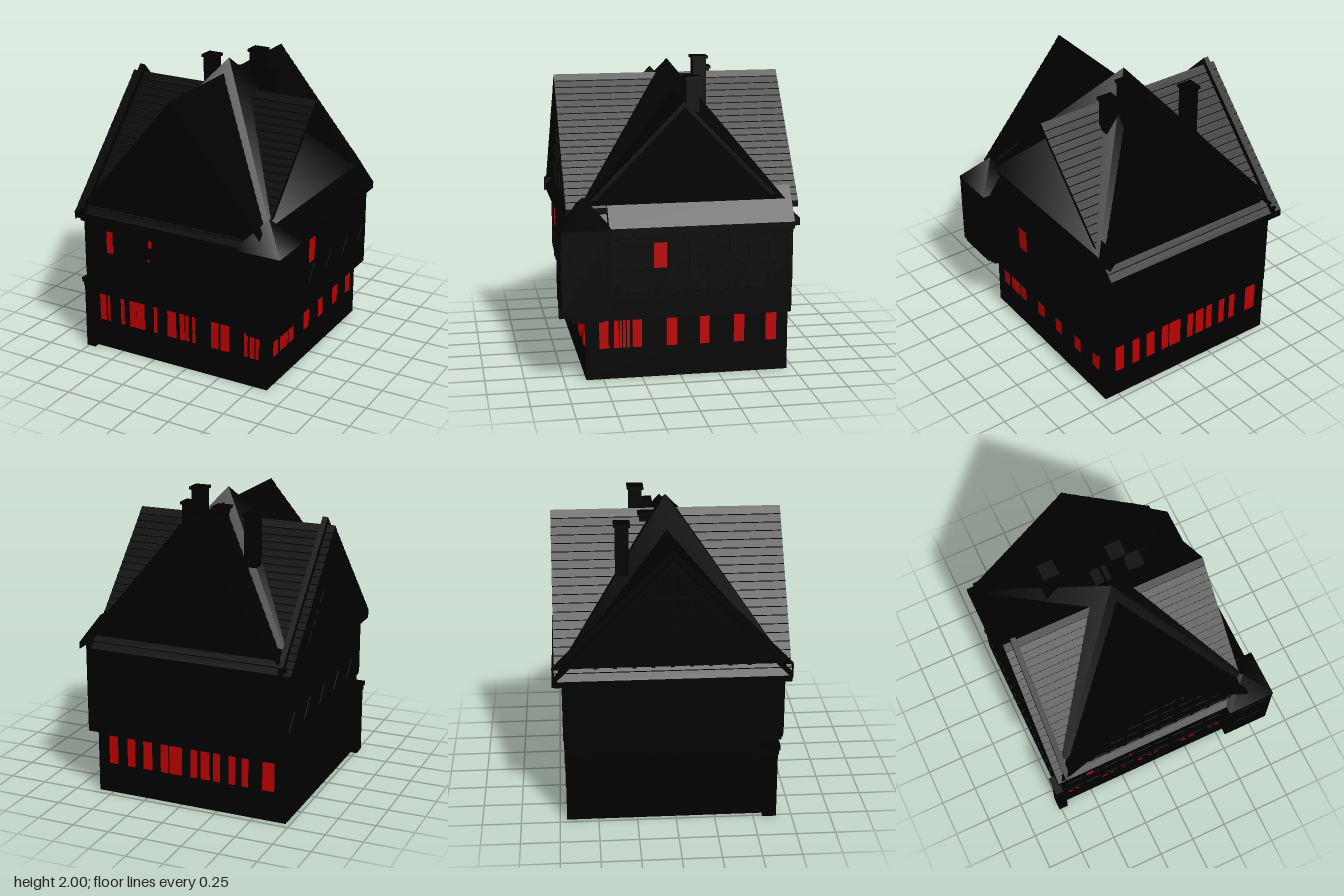
import * as THREE from 'three';

export function createModel() {
  const house = new THREE.Group();
  house.name = 'timberHouse';
  const dark = new THREE.MeshStandardMaterial({ color: 0x000000 });
  dark.name = 'soot black';
  const red = new THREE.MeshStandardMaterial({ color: 0xba0000 });
  red.name = 'window red';

  const add = (name, geo, mat = dark, parent = house) => {
    const m = new THREE.Mesh(geo, mat);
    m.name = name;
    parent.add(m);
    return m;
  };
  // Box given by its limits on each axis
  const box = (name, x0, x1, y0, y1, z0, z1, mat = dark, parent = house) => {
    const m = add(name, new THREE.BoxGeometry(x1 - x0, y1 - y0, z1 - z0), mat, parent);
    m.position.set((x0 + x1) / 2, (y0 + y1) / 2, (z0 + z1) / 2);
    return m;
  };
  // Extrude a profile along z, or along x (profile u then runs along -z)
  const extrude = (name, pts, w0, w1, alongX) => {
    const geo = new THREE.ExtrudeGeometry(new THREE.Shape(pts), { depth: w1 - w0, bevelEnabled: false });
    geo.translate(0, 0, w0);
    if (alongX) geo.rotateY(Math.PI / 2);
    return add(name, geo);
  };

  // Storeys, the upper one jutting out to the right and front
  box('groundFloor', -0.72, 0.6, 0, 0.45, -0.705, 0.61);
  box('floorBeams', -0.72, 0.67, 0.41, 0.55, -0.71, 0.64);
  box('upperFloor', -0.72, 0.67, 0.55, 1.04, -0.71, 0.685);
  box('cornerPillar', -0.765, -0.7, 0, 0.47, 0.56, 0.65);
  box('canopy', -0.775, 0, 0.48, 0.51, 0.54, 0.665);
  box('canopyLedge', -0.77, 0.02, 0.45, 0.48, 0.55, 0.655);

  // Corner bay on stepped corbels, with a small hipped roof
  box('bayCorbelLow', 0.5, 0.69, 0.41, 0.45, 0.5, 0.705);
  box('bayCorbelMiddle', 0.48, 0.725, 0.45, 0.48, 0.48, 0.74);
  box('bayCorbelHigh', 0.46, 0.755, 0.48, 0.51, 0.47, 0.765);
  box('bay', 0.455, 0.767, 0.51, 1.02, 0.463, 0.775);
  const bayRoof = add('bayRoof', new THREE.ConeGeometry(0.16 * Math.SQRT2, 0.18, 4, 1).rotateY(Math.PI / 4));
  bayRoof.position.set(0.61, 1.11, 0.62);

  // Shingled gable roof: sawtooth upper outline, straight underside
  function roofProfile(ridgeU, ridgeY, u0, u1, slope, lift = 0, rows = 20, thick = 0.04) {
    const pts = [];
    const step = rows ? 0.006 : 0;
    const n = rows || 1;
    const y = u => ridgeY + lift - slope * Math.abs(u - ridgeU);
    for (let i = 0; i <= n; i++) {
      const u = u0 + (ridgeU - u0) * i / n;
      if (i > 0 && i < n) pts.push(new THREE.Vector2(u, y(u) - step));
      pts.push(new THREE.Vector2(u, y(u)));
    }
    for (let i = 1; i <= n; i++) {
      const u = ridgeU + (u1 - ridgeU) * i / n;
      pts.push(new THREE.Vector2(u, y(u)));
      if (i < n) pts.push(new THREE.Vector2(u, y(u) - step));
    }
    pts.push(new THREE.Vector2(u1, y(u1) - thick), new THREE.Vector2(ridgeU, ridgeY + lift - thick),
      new THREE.Vector2(u0, y(u0) - thick));
    return pts.reverse();
  }
  const triangle = (u, y, half, base) =>
    [new THREE.Vector2(u - half, base), new THREE.Vector2(u + half, base), new THREE.Vector2(u, y)];

  // The side roof stays open at its right end, over the slope of the crossing roof
  extrude('frontBackRoof', roofProfile(-0.03, 1.88, -0.765, 0.6, 1.2), -0.76, 0.725, false);
  extrude('sideRoof', roofProfile(0.02, 1.78, -0.73, 0.775, 1.02), -0.765, 0.6, true);
  extrude('leftParapet', roofProfile(0.02, 1.78, -0.74, 0.775, 1.02, 0.05, 0, 0.09), -0.715, -0.68, true);
  extrude('frontBackGable', triangle(-0.03, 1.84, 0.68, 1.02), -0.7, 0.685, false);
  extrude('leftGable', triangle(0.02, 1.74, 0.7, 1.02), -0.71, 0, true);
  box('rearGutter', -0.765, 0.6, 0.96, 1.01, -0.775, -0.74);

  // Steep pyramid over the crossing, filling the valleys
  const pyramid = add('crossingRoof',
    new THREE.ConeGeometry(0.65 * Math.SQRT2, 0.826, 4, 1).rotateY(Math.PI / 4));
  pyramid.position.set(-0.03, 1.97 - 0.413, -0.02);

  // Right eave, a sloping strip continuing the crossing roof
  extrude('rightEave', [[0.56, 1.1], [0.72, 0.97], [0.72, 1.015], [0.56, 1.22]]
    .map(p => new THREE.Vector2(...p)), -0.71, 0.47, false);

  // Chimneys with wider caps
  for (const [x, z, top] of [[-0.325, -0.315, 1.88], [0.085, -0.21, 2], [0.18, -0.15, 1.88], [-0.045, -0.15, 1.87]]) {
    box('chimney', x - 0.043, x + 0.043, 1.3, top - 0.015, z - 0.043, z + 0.043);
    box('chimneyCap', x - 0.053, x + 0.053, top - 0.018, top, z - 0.053, z + 0.053);
  }

  // Wall faces: local x runs along the wall, local z points outward
  const face = (name, x, z, turn) => {
    const g = new THREE.Group();
    g.name = name;
    g.position.set(x, 0, z);
    g.rotation.y = turn * Math.PI / 2;
    house.add(g);
    return g;
  };
  const beam = (g, u0, v0, u1, v1, w = 0.025) => {
    const m = add('timber', new THREE.BoxGeometry(Math.hypot(u1 - u0, v1 - v0), w, 0.01), dark, g);
    m.position.set((u0 + u1) / 2, (v0 + v1) / 2, 0);
    m.rotation.z = Math.atan2(v1 - v0, u1 - u0);
  };
  const pane = (g, u0, u1, v0 = 0.205, v1 = 0.397) =>
    box('windowPane', u0, u1, v0, v1, 0, 0.004, red, g);

  // Ground floor window bands
  const lowFront = face('groundFront', 0, 0.61, 0);
  [[-0.67, -0.625], [-0.61, -0.593], [-0.505, -0.48], [-0.435, -0.387], [-0.383, -0.32], [-0.245, -0.22],
    [-0.14, -0.075], [-0.045, -0.01], [0, 0.02], [0.05, 0.07], [0.19, 0.245], [0.262, 0.322],
    [0.435, 0.46], [0.476, 0.51], [0.518, 0.54]].forEach(p => pane(lowFront, ...p));
  const lowRight = face('groundRight', 0.6, 0, 1);
  [[-0.525, -0.465], [-0.43, -0.4], [-0.395, -0.38], [-0.373, -0.355], [-0.348, -0.328], [-0.31, -0.25],
    [-0.09, -0.02], [0.127, 0.19], [0.35, 0.418], [0.56, 0.63]].forEach(p => pane(lowRight, ...p));
  const lowBack = face('groundBack', 0, -0.705, 2);
  [[-0.52, -0.458], [-0.387, -0.334], [-0.272, -0.21], [-0.148, -0.095], [-0.086, 0.003], [0.065, 0.109],
    [0.136, 0.198], [0.224, 0.269], [0.331, 0.375], [0.42, 0.464], [0.561, 0.641]].forEach(p => pane(lowBack, ...p));

  // Upper floor framing: rails, posts and alternating braces
  function framing(g, a, b, count) {
    for (const v of [0.57, 0.73, 0.92, 1.02]) beam(g, a, v, b, v);
    for (let i = 0; i <= count; i++) {
      const u = a + (b - a) * i / count;
      beam(g, u, 0.57, u, 1.02);
      if (i < count && i % 2 === 0) beam(g, u, 0.57, u + (b - a) / count, 0.73, 0.018);
    }
  }
  // Gable framing: rails, posts and braces kept below the slope
  function gableFraming(g, c, top, slope) {
    const limit = u => top - 0.08 - slope * Math.abs(u);
    for (const v of [1.08, 1.22, 1.37, 1.52]) {
      const h = (top - 0.1 - v) / slope;
      beam(g, c - h, v, c + h, v);
    }
    for (let i = -4; i <= 4; i++) beam(g, c + i * 0.12, 1.04, c + i * 0.12, limit(i * 0.12));
    for (const s of [-1, 1]) {
      beam(g, c + s * 0.06, limit(0.06), c + s * 0.62, limit(0.62));
      beam(g, c, 1.37, c + s * 0.3, 1.08);
    }
  }
  const upFront = face('upperFront', 0, 0.685, 0);
  const upRight = face('upperRight', 0.67, 0, 1);
  const upBack = face('upperBack', 0, -0.71, 2);
  const upLeft = face('upperLeft', -0.72, 0, 3);
  framing(upFront, -0.7, 0.45, 9);
  framing(upRight, -0.45, 0.69, 9);
  framing(upBack, -0.65, 0.7, 10);
  framing(upLeft, -0.69, 0.67, 10);
  pane(upFront, -0.55, -0.505, 0.75, 0.9);
  pane(upFront, -0.23, -0.21, 0.85, 0.9);
  pane(upFront, -0.235, -0.225, 0.75, 0.77);
  pane(upRight, -0.19, -0.1, 0.74, 0.905);
  gableFraming(upFront, -0.03, 1.88, 1.2);
  gableFraming(face('backGable', 0, -0.7, 2), 0.03, 1.88, 1.2);
  gableFraming(face('leftGableFrame', -0.71, 0, 3), -0.02, 1.78, 1.02);

  // Joist ends under the upper floor
  for (let i = 0; i < 18; i++) {
    const u = -0.66 + i * 0.066;
    box('joistEnd', u, u + 0.025, 0.5, 0.55, 0.63, 0.685);
    box('joistEnd', -0.74, -0.715, 0.45, 0.475, u, u + 0.025);
  }

  // Bay window frames on both outer sides
  for (const g of [face('bayFront', 0.61, 0.773, 0), face('bayRight', 0.765, 0.62, 1)]) {
    for (const v of [0.73, 0.94]) beam(g, -0.1, v, 0.1, v, 0.012);
    for (const u of [-0.1, 0, 0.1]) beam(g, u, 0.73, u, 0.94, 0.012);
  }
  return house;
}
